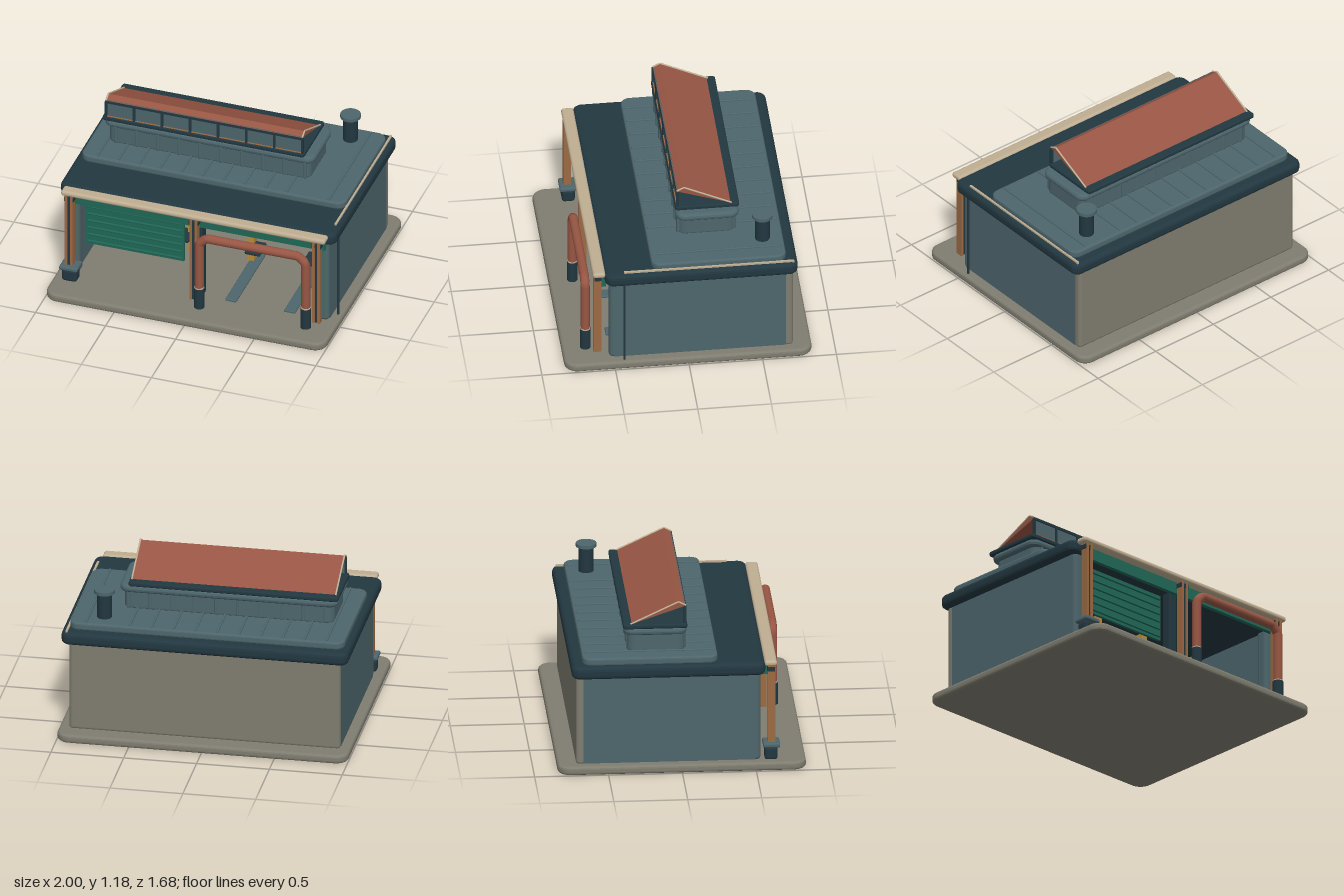
import * as THREE from 'three';
import { RoundedBoxGeometry } from 'three/addons/geometries/RoundedBoxGeometry.js';

const mat = (name, color) => Object.assign(new THREE.MeshStandardMaterial({ color }), { name });

export function createModel() {
  const root = new THREE.Group();
  root.name = 'garage';
  const navy = mat('dark navy', 0x223740), teal = mat('slate teal', 0x4d666c);
  const stone = mat('concrete', 0x7f7d70), red = mat('terracotta', 0x985644);
  const cream = mat('cream', 0xbfae92), brown = mat('copper brown', 0x9b6a43);
  const green = mat('shutter green', 0x1f6857), yellow = mat('lift yellow', 0xb88a3a);
  const board = mat('pegboard brown', 0x7c634a);
  red.side = THREE.DoubleSide;

  const add = (name, geo, m, x = 0, y = 0, z = 0) => {
    const mesh = new THREE.Mesh(geo, m);
    mesh.name = name;
    mesh.position.set(x, y, z);
    root.add(mesh);
    return mesh;
  };
  // boxes given by their limits on each axis
  const box = (name, m, x0, x1, y0, y1, z0, z1, r = 0) => {
    const s = [x1 - x0, y1 - y0, z1 - z0];
    const geo = r ? new RoundedBoxGeometry(...s, 3, r) : new THREE.BoxGeometry(...s);
    return add(name, geo, m, (x0 + x1) / 2, (y0 + y1) / 2, (z0 + z1) / 2);
  };
  const cyl = (name, m, r, y0, y1, x, z) =>
    add(name, new THREE.CylinderGeometry(r, r, y1 - y0, 24), m, x, (y0 + y1) / 2, z);
  // flat slab with rounded corners in plan and bevelled rims
  const slab = (name, m, x0, x1, y0, y1, z0, z1, r, b) => {
    const X0 = x0 + b, X1 = x1 - b, Y0 = -z1 + b, Y1 = -z0 - b;
    const s = new THREE.Shape();
    s.moveTo(X0 + r, Y0).lineTo(X1 - r, Y0);
    s.absarc(X1 - r, Y0 + r, r, -Math.PI / 2, 0);
    s.absarc(X1 - r, Y1 - r, r, 0, Math.PI / 2);
    s.absarc(X0 + r, Y1 - r, r, Math.PI / 2, Math.PI);
    s.absarc(X0 + r, Y0 + r, r, Math.PI, Math.PI * 1.5);
    const geo = new THREE.ExtrudeGeometry(s, {
      depth: y1 - y0 - 2 * b, bevelThickness: b, bevelSize: b, bevelSegments: 3, curveSegments: 6,
    });
    geo.rotateX(-Math.PI / 2);
    return add(name, geo, m, 0, y0 + b, 0);
  };
  const tube = (name, m, pts, r) => {
    const path = new THREE.CurvePath();
    const v = pts.map((p) => new THREE.Vector3(...p));
    for (let i = 1; i < v.length; i++) path.add(new THREE.LineCurve3(v[i - 1], v[i]));
    add(name, new THREE.TubeGeometry(path, 80, r, 14), m);
  };

  // floor, walls and roof
  slab('floorSlab', stone, -1, 1, 0, 0.06, -0.84, 0.84, 0.07, 0.02);
  box('backWall', stone, -0.93, 0.93, 0.05, 0.7, -0.715, -0.65, 0.025);
  for (const s of [-1, 1]) {
    box('sideWall', teal, s * 0.9 - 0.03, s * 0.9 + 0.03, 0.05, 0.7, -0.665, 0.5);
    box('wallEnd', teal, s * 0.89 - 0.04, s * 0.89 + 0.04, 0.05, 0.7, 0.44, 0.535, 0.03);
  }
  box('middleColumn', navy, -0.04, 0.03, 0.05, 0.7, 0.45, 0.53, 0.015);
  slab('roofSlab', navy, -0.985, 0.985, 0.68, 0.77, -0.745, 0.565, 0.03, 0.03);
  slab('roofDeck', teal, -0.945, 0.94, 0.765, 0.82, -0.67, 0.245, 0.05, 0.015);
  for (let i = 0; i < 12; i++) {
    const x = -0.825 + i * 0.15;
    if (i !== 10) box('roofRib', teal, x - 0.008, x + 0.008, 0.81, 0.83, -0.65, 0.23, 0.006);
  }
  box('edgeGutter', cream, 0.938, 0.952, 0.765, 0.782, -0.72, 0.435);
  cyl('downpipe', navy, 0.008, 0.05, 0.7, 0.965, 0.435);

  // roof monitor with slanted skylight cover
  slab('monitorBase', teal, -0.82, 0.62, 0.815, 0.96, -0.36, 0.03, 0.04, 0.015);
  slab('monitorRim', teal, -0.85, 0.65, 0.94, 0.995, -0.385, 0.045, 0.04, 0.025);
  for (let i = 0; i < 10; i++) {
    const x = -0.76 + i * 0.15;
    box('monitorRib', teal, x - 0.01, x + 0.01, 0.82, 0.95, -0.365, 0.04, 0.008);
  }
  slab('skylightSill', navy, -0.855, 0.585, 0.99, 1.022, -0.39, 0.045, 0.01, 0.01);
  box('skylightGlass', teal, -0.83, 0.57, 1.02, 1.15, 0.024, 0.03);
  box('glassBottomTrim', brown, -0.83, 0.57, 1.02, 1.027, 0.03, 0.037);
  box('glassTopTrim', navy, -0.83, 0.57, 1.128, 1.146, 0.022, 0.038);
  for (let i = 0; i < 8; i++) {
    const x = -0.83 + i * 0.2;
    box('mullion', navy, x - 0.008, x + 0.008, 1.02, 1.14, 0.02, 0.04);
  }
  const wedge = new THREE.Shape();
  wedge.moveTo(-0.035, 1.145).lineTo(0.34, 1.018).lineTo(0.015, 1.172).closePath();
  const cover = new THREE.ExtrudeGeometry(wedge, { depth: 1.4, bevelEnabled: false });
  cover.rotateY(-Math.PI / 2);
  // profile runs along -z after the turn, so mirror the half turn back
  cover.rotateY(Math.PI);
  add('skylightCover', cover, red, -0.83);
  for (const x of [-0.83, 0.57]) {
    tube('coverEdge', cream, [[x, 1.148, 0.035], [x, 1.173, -0.015], [x, 1.02, -0.34]], 0.006);
  }

  // chimney
  cyl('chimney', navy, 0.05, 0.8, 1.0, 0.72, -0.53);
  cyl('chimneyCap', teal, 0.07, 0.998, 1.022, 0.72, -0.53);

  // front beam, header and posts
  box('frontBeam', cream, -0.945, 0.94, 0.732, 0.772, 0.56, 0.645, 0.018);
  box('header', green, -0.87, 0.92, 0.65, 0.735, 0.555, 0.585);
  for (const x of [-0.89, 0, 0.875]) {
    for (const s of [-1, 1]) {
      box('postFlange', brown, x + s * 0.019 - 0.009, x + s * 0.019 + 0.009, 0.09, 0.735, 0.585, 0.636);
    }
    box('postWeb', navy, x - 0.012, x + 0.012, 0.09, 0.72, 0.59, 0.628);
    box('postCap', navy, x - 0.034, x + 0.034, 0.69, 0.72, 0.58, 0.632);
  }
  box('postFoot', navy, -0.94, -0.83, 0.05, 0.15, 0.56, 0.65, 0.025);
  box('postFootCap', teal, -0.95, -0.82, 0.145, 0.178, 0.55, 0.665, 0.012);

  // guard hoop with boots
  tube('guardHoop', red, [[0.06, 0.09, 0.685], [0.06, 0.59, 0.685], [0.11, 0.64, 0.685],
    [0.77, 0.64, 0.685], [0.82, 0.59, 0.685], [0.82, 0.09, 0.685]], 0.031);
  for (const x of [0.06, 0.82]) {
    cyl('hoopBoot', navy, 0.036, 0.08, 0.235, x, 0.685);
    cyl('hoopCuff', cream, 0.034, 0.233, 0.243, x, 0.685);
  }

  // half raised shutter
  box('shutter', green, -0.81, -0.11, 0.3, 0.63, 0.49, 0.51);
  for (let i = 0; i < 6; i++) {
    const y = 0.325 + i * 0.055;
    box('shutterSlat', green, -0.8, -0.12, y - 0.006, y + 0.006, 0.505, 0.522, 0.005);
  }

  // two vehicle lifts
  for (const [x0, x1] of [[-0.715, -0.22], [0.2, 0.7]]) {
    for (const [x, s] of [[x0, 1], [x1, -1]]) {
      box('liftPost', yellow, x - 0.025, x + 0.025, 0.05, 0.61, -0.03, 0.03);
      const c = x + s * 0.045;
      box('liftArm', navy, c - 0.055, c + 0.055, 0.183, 0.21, -0.02, 0.13, 0.01);
    }
  }
  for (const x of [0.23, 0.65]) {
    box('floorTrack', teal, x - 0.04, x + 0.04, 0.055, 0.075, -0.08, 0.53, 0.008);
  }

  // pegboard with hanging tools and a lamp rail
  box('pegboard', board, 0.22, 0.78, 0.34, 0.56, -0.655, -0.635);
  for (let i = 0; i < 6; i++) {
    const x = 0.275 + i * 0.074;
    box('toolHandle', navy, x - 0.007, x + 0.007, 0.38, 0.45, -0.635, -0.62);
    box('toolHead', cream, x - 0.01, x + 0.01, 0.45, 0.5, -0.635, -0.618);
  }
  box('lampRail', teal, 0.24, 0.68, 0.58, 0.6, -0.56, -0.53);
  for (const x of [0.3, 0.46, 0.62]) cyl('lampRod', navy, 0.006, 0.59, 0.69, x, -0.545);

  // drawer cabinet
  box('toolCabinet', red, 0.34, 0.69, 0.06, 0.31, -0.6, -0.42, 0.01);
  for (let i = 0; i < 5; i++) {
    const y = 0.11 + i * 0.049;
    box('drawerPull', cream, 0.37, 0.66, y - 0.005, y + 0.005, -0.422, -0.412);
  }

  // hose reel and air tank
  add('hoseReel', new THREE.TorusGeometry(0.035, 0.018, 10, 24), navy, 0.78, 0.5, -0.61);
  add('hose', new THREE.TorusGeometry(0.05, 0.009, 8, 24), yellow, 0.76, 0.27, -0.58);
  add('airTank', new THREE.SphereGeometry(0.065, 20, 14), red, 0.78, 0.15, -0.52);

  // tyre stack and shelf rack
  for (let i = 0; i < 3; i++) {
    const tyre = add('tyre', new THREE.TorusGeometry(0.05, 0.021, 10, 24), navy, -0.78, 0.11 + i * 0.045, -0.45);
    tyre.rotation.x = Math.PI / 2;
  }
  for (const x of [-0.15, 0.1]) box('rackPost', navy, x - 0.008, x + 0.008, 0.06, 0.48, -0.63, -0.61);
  for (let i = 0; i < 4; i++) {
    const y = 0.12 + i * 0.09;
    box('rackShelf', teal, -0.15, 0.1, y, y + 0.012, -0.64, -0.52);
    box('rackBox', i % 2 ? teal : green, -0.13, -0.075, y + 0.012, y + 0.055, -0.61, -0.54);
  }
  return root;
}
